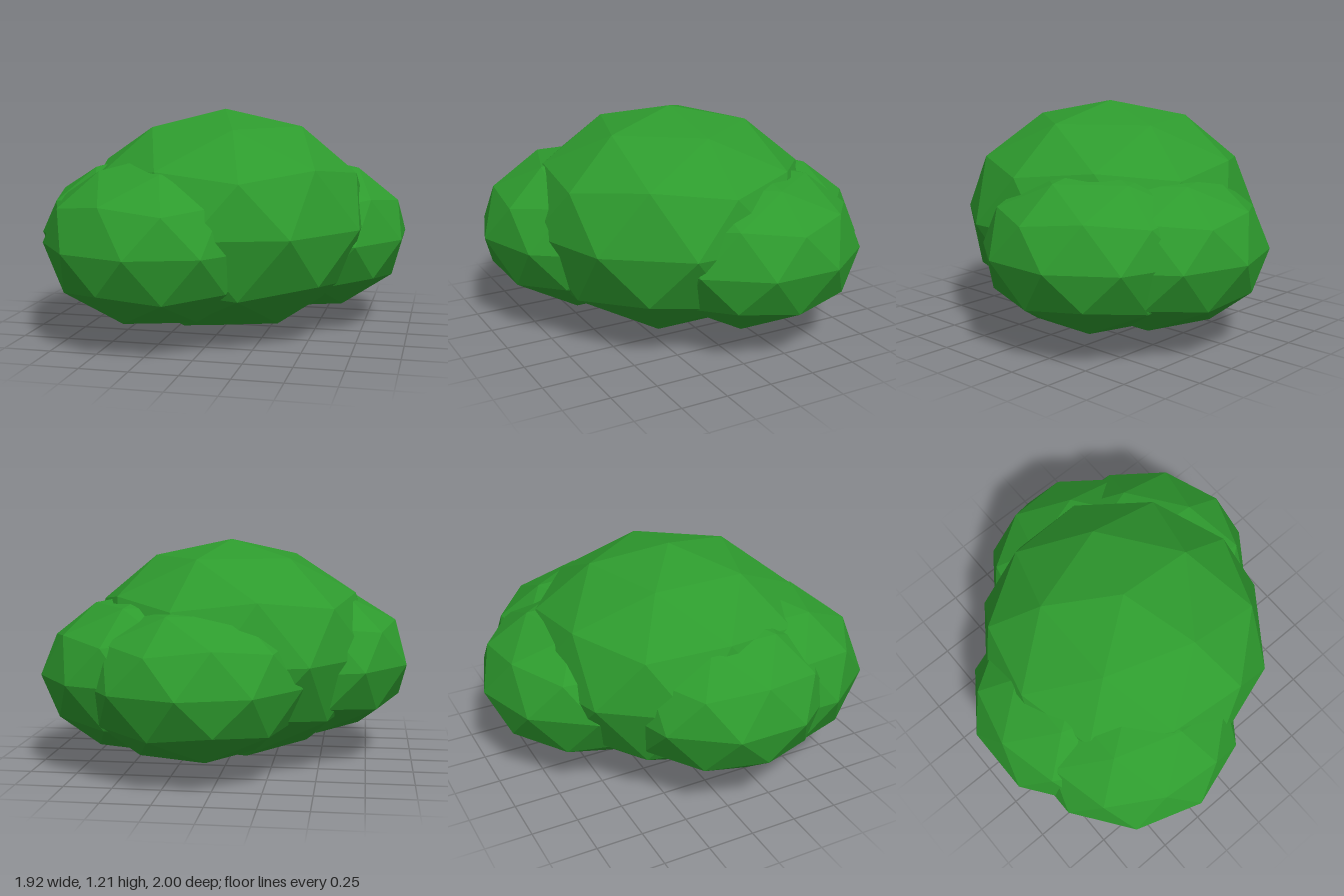
import * as THREE from 'three';

export function createModel() {
  const group = new THREE.Group();
  group.name = 'bush';

  const leafGreen = new THREE.MeshStandardMaterial({ color: 0x2e9b2e, flatShading: true });
  leafGreen.name = 'leaf green';

  // Faceted ball with one corner pointing straight up and one upper corner toward +x
  const ball = new THREE.IcosahedronGeometry(1, 1);
  ball.rotateZ(-Math.atan(2 / (1 + Math.sqrt(5))));

  // Squashed foliage clumps: name, centre, radii
  const clumps = [
    ['mainClump', [0, 0.603, 0.03], [0.8, 0.603, 0.8]],
    ['frontClump', [-0.275, 0.53, 0.4], [0.6, 0.445, 0.6]],
    ['rightClump', [-0.39, 0.54, 0.125], [0.6, 0.425, 0.6]],
    ['leftClump', [0.385, 0.507, -0.235], [0.6, 0.432, 0.6]],
    ['backClump', [0.135, 0.493, -0.4], [0.6, 0.425, 0.6]],
  ];
  for (const [name, centre, radii] of clumps) {
    const geometry = ball.clone().scale(...radii);
    geometry.computeVertexNormals();
    const mesh = new THREE.Mesh(geometry, leafGreen);
    mesh.name = name;
    mesh.position.set(...centre);
    group.add(mesh);
  }
  return group;
}
